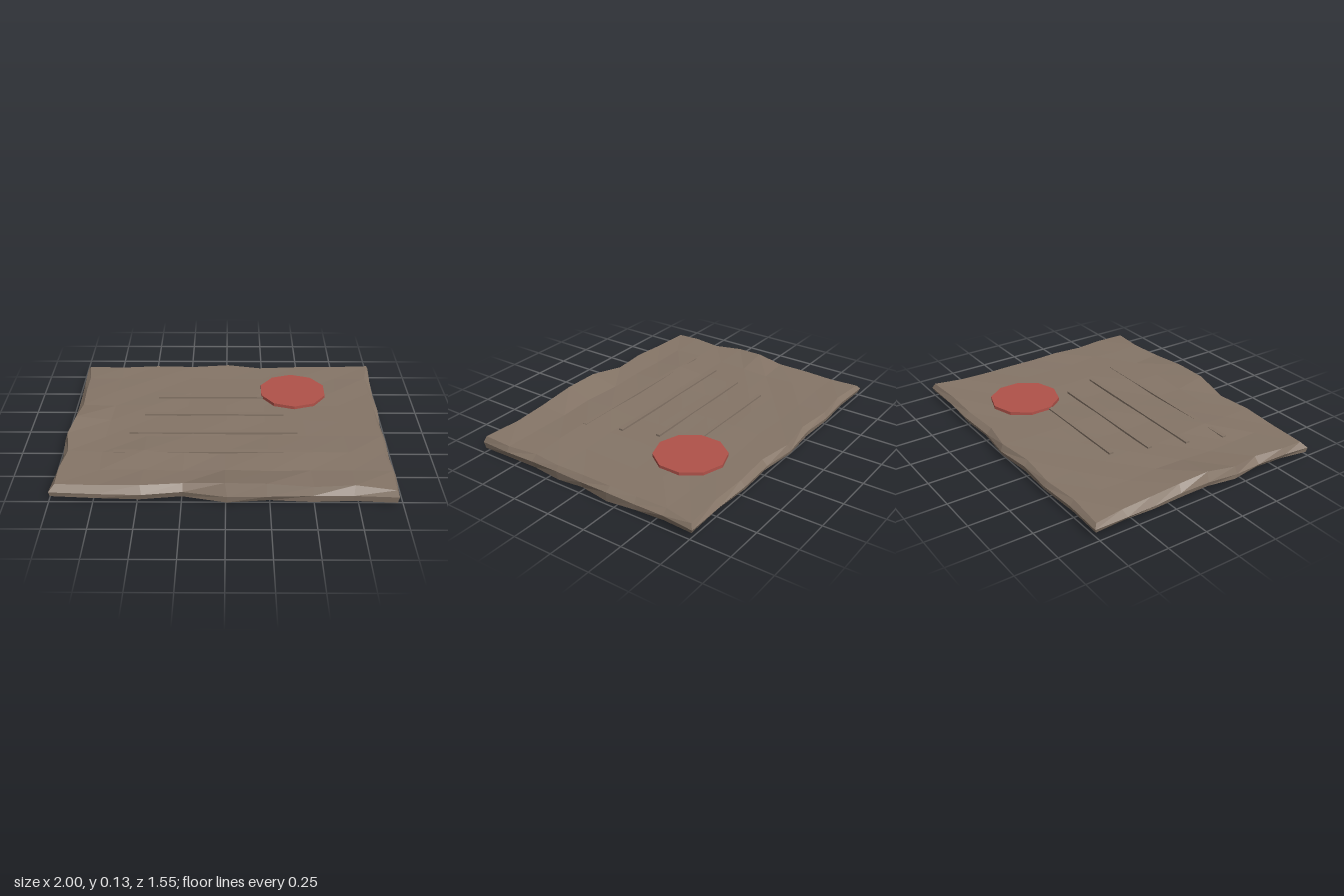
import * as THREE from 'three';
import { mergeVertices } from 'three/addons/utils/BufferGeometryUtils.js';

// Seeded noise in -1..1
function makeNoise(seed) {
  let s = seed;
  return () => {
    s = (s * 16807) % 2147483647;
    return (s / 2147483647) * 2 - 1;
  };
}

// Worn slab: gently uneven faces, ragged rim that is bevelled above and undercut below
function wornSheet() {
  const cols = 8, rows = 8;
  let geo = new THREE.BoxGeometry(2, 2, 2, cols, 2, rows);
  geo.deleteAttribute('normal');
  geo.deleteAttribute('uv');
  geo = mergeVertices(geo);

  // Outline of each edge
  const front = [0.74, 0.755, 0.765, 0.745, 0.775, 0.775, 0.765, 0.765, 0.775];
  const back = [0.765, 0.755, 0.77, 0.76, 0.78, 0.755, 0.77, 0.76, 0.765];
  const left = [0.98, 0.975, 0.97, 0.965, 0.97, 0.99, 0.975, 0.985, 1.0];
  const right = [1.0, 0.985, 0.98, 0.985, 0.975, 0.98, 0.975, 0.985, 0.975];
  // Heights of the upper and lower rim
  const frontTop = [0.1, 0.1, 0.108, 0.108, 0.138, 0.136, 0.112, 0.112, 0.1];
  const frontLow = [0.035, 0.035, 0.027, 0.036, 0.02, 0.03, 0.018, 0.026, 0.02];
  const leftTop = [0.092, 0.096, 0.104, 0.108, 0.13, 0.115, 0.105, 0.105, 0.1];
  const rightLow = [0.042, 0.036, 0.03, 0.008, 0.022, 0.012, 0.022, 0.025, 0.02];
  // Swelling of the upper face along one row
  const swell = [0, 0.004, 0.014, 0.004, 0.002, 0.011, 0.012, 0.009, 0];

  const noise = makeNoise(4711);
  const p = geo.attributes.position;
  for (let k = 0; k < p.count; k++) {
    const u = p.getX(k), t = Math.round(p.getY(k)), w = p.getZ(k);
    const i = Math.round((u + 1) * cols / 2), j = Math.round((w + 1) * rows / 2);
    const rimX = i === 0 || i === cols, rimZ = j === 0 || j === rows;
    const inset = t === 0 ? 0 : t > 0 ? 0.026 + 0.012 * noise() : 0.01 + 0.008 * noise();
    let x = u * 0.97 + 0.014 * noise();
    let z = w * 0.75 + 0.01 * noise();
    if (rimX) x = u * ((u < 0 ? left : right)[j] - inset);
    if (rimZ) z = w * ((w < 0 ? back : front)[i] - inset);

    let y = 0.067 + 0.007 * noise();
    if (t > 0) {
      y = 0.098 + 0.003 * noise();
      if (j === rows) y = frontTop[i];
      else if (i === 0) y = leftTop[j];
      else if (j === 6) y += swell[i];
    } else if (t < 0) {
      y = 0.036 + 0.003 * noise();
      if (j === rows) y = frontLow[i];
      else if (i === cols) y = rightLow[j];
      else if (rimX || rimZ) y += 0.006;
    }
    p.setXYZ(k, x, y, z);
  }
  // Dip where the slab touches the ground
  geo.translate(0, -0.008, 0);
  geo = geo.toNonIndexed();
  geo.computeVertexNormals();
  return geo;
}

export function createModel() {
  const group = new THREE.Group();
  const paper = new THREE.MeshStandardMaterial({ color: 0x857567, flatShading: true });
  paper.name = 'weathered brown';
  const wax = new THREE.MeshStandardMaterial({ color: 0xb05249, flatShading: true });
  wax.name = 'wax red';

  const add = (name, geo, mat, x, y, z) => {
    const mesh = new THREE.Mesh(geo, mat);
    mesh.name = name;
    mesh.position.set(x, y, z);
    group.add(mesh);
  };

  const sheet = wornSheet();
  add('sheet', sheet, paper, 0, 0.008, 0);

  // Raised ruled strips, each longer than the one behind it
  for (let n = 0; n < 4; n++) {
    const strip = new THREE.BoxGeometry(0.735 + 0.15 * n, 0.022, 0.027);
    add('strip' + (n + 1), strip, paper, -0.078, 0.098, -0.295 + 0.2225 * n);
  }

  // Ten-sided seal
  add('seal', new THREE.CylinderGeometry(0.22, 0.22, 0.03, 10), wax, 0.44, 0.102, -0.365);
  return group;
}
